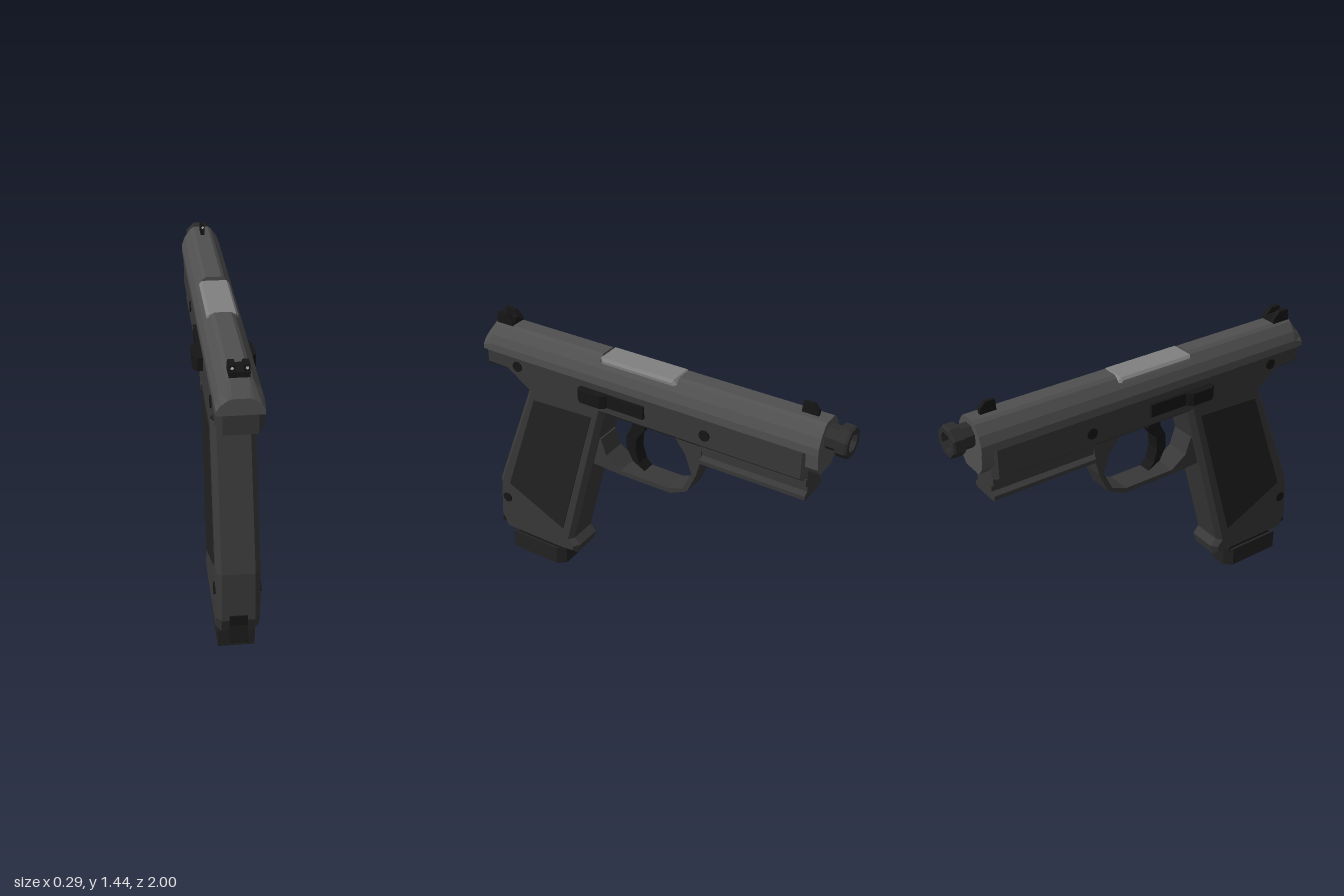
import * as THREE from 'three';

const mat = (color) => new THREE.MeshStandardMaterial({ color, flatShading: true });
const M = {
  slide: mat(0x505050), frame: mat(0x383838), panel: mat(0x222222),
  black: mat(0x161616), steel: mat(0x808080), dot: mat(0xdddddd),
};
const toShape = (pts) => new THREE.Shape(pts.map(([a, b]) => new THREE.Vector2(a, b)));

// Side profile given as [z, y], extruded across x and centred on x = 0
function sideGeometry(pts, halfWidth, bevel = 0) {
  const depth = 2 * (halfWidth - bevel);
  const geo = new THREE.ExtrudeGeometry(toShape(pts), {
    depth, bevelEnabled: bevel > 0, bevelThickness: bevel, bevelSize: bevel,
    bevelOffset: -bevel, bevelSegments: 1,
  });
  return geo.translate(0, 0, -depth / 2).rotateY(-Math.PI / 2);
}

// Half cross-section given as [x, y] with x > 0, mirrored and extruded from z0 to z1
function sectionGeometry(half, z0, z1) {
  const pts = [...half, ...half.map(([x, y]) => [-x, y]).reverse()];
  const geo = new THREE.ExtrudeGeometry(toShape(pts), { depth: z1 - z0, bevelEnabled: false });
  return geo.translate(0, 0, z0);
}

export function createModel() {
  const root = new THREE.Group();
  const add = (name, geo, material, x = 0, y = 0, z = 0) => {
    const mesh = new THREE.Mesh(geo, material);
    mesh.name = name;
    mesh.position.set(x, y, z);
    root.add(mesh);
    return mesh;
  };

  // Slide: front, cut-down middle around the port, and rear with sloped back
  const low = [[0.102, 1.245], [0.102, 1.285], [0.086, 1.33]];
  const full = [...low, [0.055, 1.373], [0.038, 1.385]];
  const cut = [...low, [0.07, 1.353]];
  add('slideFront', sectionGeometry(full, -0.89, -0.16), M.slide);
  add('slideMiddle', sectionGeometry(cut, -0.16, 0.26), M.slide);
  add('slideRear', sectionGeometry(full, 0.26, 0.905), M.slide);
  const tail = sectionGeometry(full, 0.905, 0.955);
  const p = tail.attributes.position;
  for (let i = 0; i < p.count; i++) {
    if (p.getZ(i) > 0.93) p.setXY(i, p.getX(i) * 0.97, 1.245 + (p.getY(i) - 1.245) * 0.53);
  }
  add('slideTail', tail, M.slide);
  add('slideNose', sectionGeometry([[0.055, 1.13], [0.09, 1.17], [0.1, 1.25]], -0.89, -0.83), M.slide);

  // Chamber block showing through the port
  add('chamber', sideGeometry([[0.26, 1.3], [0.26, 1.375], [-0.14, 1.375], [-0.16, 1.355], [-0.16, 1.3]], 0.072, 0.012), M.steel);

  // Frame and grip in one bevelled profile
  add('frame', sideGeometry([
    [0.953, 1.29], [0.953, 1.155], [0.82, 1.152], [0.7, 1.07], [0.945, 0.45], [0.963, 0.21],
    [0.925, 0.12], [0.56, 0.12], [0.45, 0.13], [0.43, 0.19], [0.465, 0.225],
    [0.24, 1.078], [-0.84, 1.078], [-0.84, 1.29],
  ], 0.099, 0.025), M.frame);

  // Accessory rail with a groove on each side
  add('rail', sectionGeometry([
    [0.07, 0.98], [0.085, 0.99], [0.085, 1.01], [0.062, 1.025], [0.062, 1.05], [0.085, 1.065], [0.085, 1.1],
  ], -0.84, -0.3), M.frame);

  // Trigger guard
  add('triggerGuard', sideGeometry([
    [-0.3, 1.09], [-0.293, 0.98], [-0.272, 0.9], [-0.225, 0.79], [-0.13, 0.745], [0.16, 0.745],
    [0.345, 0.755], [0.31, 0.92], [0.275, 0.915], [0.245, 0.83], [0.16, 0.77], [-0.12, 0.77],
    [-0.2, 0.8], [-0.247, 0.9], [-0.21, 1.0], [-0.14, 1.09],
  ], 0.065), M.frame);

  // Trigger
  add('trigger', sideGeometry([
    [0.11, 1.09], [0.037, 1.09], [0.037, 1.03], [0.083, 0.97], [0.09, 0.9], [0.07, 0.83],
    [0.037, 0.795], [0.105, 0.83], [0.142, 0.9], [0.14, 0.97], [0.108, 1.03],
  ], 0.035), M.black);

  // Grip panels
  add('gripPanels', sideGeometry([[0.655, 1.035], [0.305, 1.05], [0.52, 0.285], [0.865, 0.45]], 0.104), M.panel);

  // Catch levers with a thumb pad on each side
  for (const s of [1, -1]) {
    add('catchLever', new THREE.BoxGeometry(0.03, 0.065, 0.36), M.black, s * 0.1, 1.178, 0.175);
    const pad = new THREE.ExtrudeGeometry(
      toShape([[0.09, 0.2], [0.125, 0.2], [0.143, 0.225], [0.143, 0.335], [0.125, 0.36], [0.09, 0.36]]),
      { depth: 0.065, bevelEnabled: false }).rotateX(Math.PI / 2);
    add('catchPad', pad, M.black, 0, 1.211, 0).rotation.z = s > 0 ? 0 : Math.PI;
    if (s < 0) root.children.at(-1).position.y = 1.146;
  }

  // Cross pins
  for (const [z, y] of [[0.745, 1.2], [-0.33, 1.163], [0.893, 0.345]]) {
    add('pin', new THREE.CylinderGeometry(0.028, 0.028, 0.21, 10).rotateZ(Math.PI / 2), M.black, 0, y, z);
  }

  // Threaded barrel end with a hollow eight-sided cap
  const barrel = new THREE.LatheGeometry([
    [0.001, 0.86], [0.058, 0.86], [0.058, 0.94], [0.076, 0.945], [0.076, 0.99], [0.07, 1.0],
    [0.045, 1.0], [0.045, 0.9], [0.001, 0.9],
  ].map(([r, z]) => new THREE.Vector2(r, z)), 8, Math.PI / 8).rotateX(-Math.PI / 2);
  const barrelMat = mat(0x2c2c2c);
  barrelMat.side = THREE.DoubleSide;
  add('barrel', barrel, barrelMat, 0, 1.303, 0);

  // Sights: notched rear, single front post, pale dots facing the rear
  const rear = [[0.9, 1.38], [0.9, 1.41], [0.81, 1.41], [0.8, 1.38]];
  const post = [[0.895, 1.4], [0.895, 1.438], [0.84, 1.438], [0.8, 1.4]];
  add('rearSightBase', sideGeometry(rear, 0.043), M.black);
  for (const s of [1, -1]) {
    add('rearSightPost', sideGeometry(post, 0.013), M.black, s * 0.03);
    add('sightDot', new THREE.CircleGeometry(0.007, 8), M.dot, s * 0.03, 1.425, 0.897);
  }
  add('frontSight', sideGeometry([
    [-0.755, 1.38], [-0.76, 1.438], [-0.808, 1.438], [-0.835, 1.41], [-0.835, 1.38],
  ], 0.01), M.black);
  add('sightDot', new THREE.CircleGeometry(0.007, 8), M.dot, 0, 1.425, -0.756);

  // Magazine: neck and base with chamfered front corners
  add('magazineNeck', new THREE.BoxGeometry(0.14, 0.08, 0.29), M.black, 0, 0.11, 0.715);
  const base = new THREE.ExtrudeGeometry(toShape([
    [-0.085, -0.885], [0.085, -0.885], [0.085, -0.59], [0.05, -0.547], [-0.05, -0.547], [-0.085, -0.59],
  ]), { depth: 0.105, bevelEnabled: false }).rotateX(-Math.PI / 2);
  add('magazineBase', base, M.panel);

  // Release tab at the heel of the grip
  add('heelTab', sideGeometry([
    [0.94, 0.24], [0.965, 0.235], [0.968, 0.185], [1.0, 0.12], [0.985, 0.105], [0.94, 0.165],
  ], 0.04), M.black);

  return root;
}
